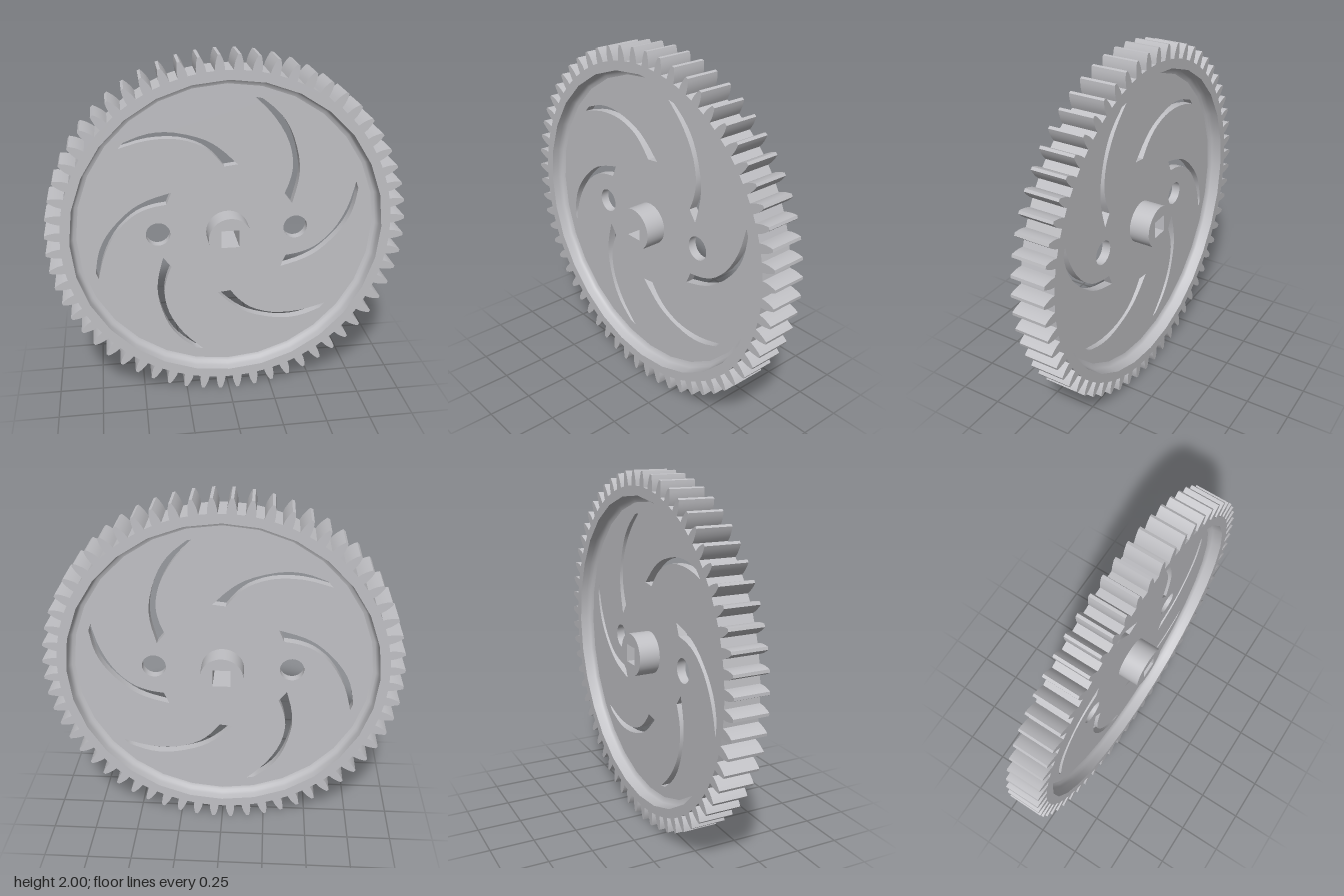
import * as THREE from 'three';
import { toCreasedNormals } from 'three/addons/utils/BufferGeometryUtils.js';

const TEETH = 60, RIM_SIDES = 28, SLOTS = 6;
const RIM_HALF = 0.098, WEB_HALF = 0.025, HUB_HALF = 0.145, BORE = 0.87;

const polar = (r, a) => new THREE.Vector2(r * Math.cos(a), r * Math.sin(a));

function ring(r, sides, x = 0, y = 0) {
  return Array.from({ length: sides }, (_, i) => {
    const p = polar(r, (i / sides) * Math.PI * 2);
    return p.set(p.x + x, p.y + y);
  });
}

// Extrude an outline with holes, centred on z = 0, smooth along gentle curves
function plate(outline, holes, half) {
  const shape = new THREE.Shape(outline);
  shape.holes = holes.map((h) => new THREE.Path(h));
  const geo = new THREE.ExtrudeGeometry(shape, { depth: half * 2, bevelEnabled: false });
  geo.translate(0, 0, -half);
  return toCreasedNormals(geo, 0.55);
}

// Tooth flank as [radius, half width], root to tip
function gearOutline() {
  const flank = [[0.92, 0.026], [0.945, 0.0245], [0.967, 0.02], [0.985, 0.0145], [1.001, 0.008]];
  const pts = [];
  for (let i = 0; i < TEETH; i++) {
    const a = ((i + 0.5) / TEETH) * Math.PI * 2;
    flank.forEach(([r, w]) => pts.push(polar(r, a - w / r)));
    [...flank].reverse().forEach(([r, w]) => pts.push(polar(r, a + w / r)));
  }
  return pts;
}

// Curved slot, repeated around the centre
function slotOutline(angle) {
  const spline = (list) =>
    new THREE.SplineCurve(list.map(([x, y]) => new THREE.Vector2(x, y))).getPoints(14);
  const outer = spline([[0.187, 0.75], [0.285, 0.665], [0.354, 0.555], [0.398, 0.4], [0.398, 0.28], [0.365, 0.145]]);
  const inner = spline([[0.32, 0.205], [0.352, 0.29], [0.363, 0.39], [0.332, 0.518], [0.252, 0.65], [0.145, 0.758]]);
  const origin = new THREE.Vector2();
  return [...outer, ...inner].map((p) => p.rotateAround(origin, angle));
}

export function createModel() {
  const group = new THREE.Group();
  group.name = 'gearWheel';
  const grey = new THREE.MeshStandardMaterial({ color: 0xc0c0c4 });
  grey.name = 'lightGrey';

  const add = (name, geo) => {
    const mesh = new THREE.Mesh(geo, grey);
    mesh.name = name;
    mesh.position.y = 1;
    group.add(mesh);
    return mesh;
  };

  // Toothed rim
  add('toothedRim', plate(gearOutline(), [ring(BORE, RIM_SIDES)], RIM_HALF));

  // Thin web with slots and two round holes
  const holes = [ring(0.1, 24), ring(0.068, 32, 0.388), ring(0.068, 32, -0.388)];
  for (let i = 0; i < SLOTS; i++) holes.push(slotOutline((i / SLOTS) * Math.PI * 2));
  add('web', plate(ring(0.862, RIM_SIDES), holes, WEB_HALF));

  // Rounded recess wall on both faces
  const profile = [[BORE, RIM_HALF], [0.868, 0.06], [0.862, 0.042], [0.852, 0.031], [0.835, WEB_HALF + 0.0005]]
    .map(([x, y]) => new THREE.Vector2(x, y));
  for (const side of [1, -1]) {
    const geo = new THREE.LatheGeometry(profile, RIM_SIDES);
    geo.rotateX(side * Math.PI / 2);
    add(side > 0 ? 'frontRecessWall' : 'backRecessWall', geo);
  }

  // Hub with a square shaft hole
  const s = 0.05;
  const square = [[-s, -s], [s, -s], [s, s], [-s, s]].map(([x, y]) => new THREE.Vector2(x, y));
  add('hub', plate(ring(0.12, 40), [square], HUB_HALF));

  return group;
}
